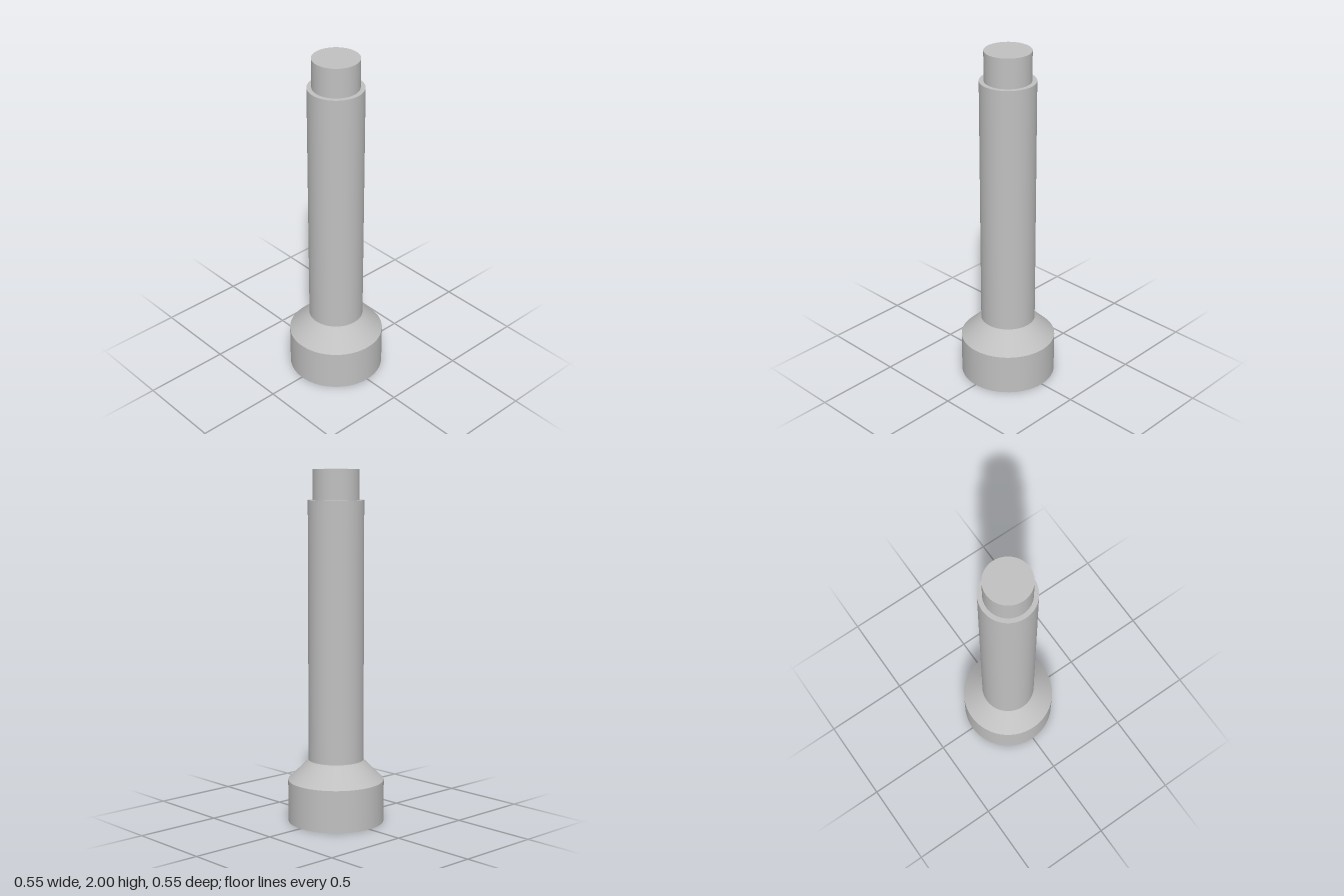
import * as THREE from 'three';

export function createModel() {
  const group = new THREE.Group();
  group.name = 'socketHeadBolt';
  const steel = new THREE.MeshStandardMaterial({ color: 0xc0c0c0 });
  steel.name = 'steel grey';

  const headR = 0.274, shaftR = 0.157, tipR = 0.131;
  const headTop = 0.24, shaftTop = 1.83, top = 2;
  const hexR = 0.085, hexDepth = 0.14;

  const add = (name, geometry) => {
    const mesh = new THREE.Mesh(geometry, steel);
    mesh.name = name;
    group.add(mesh);
  };
  // Surface of revolution; separate calls keep the edges between parts sharp
  const turn = (points, sides = 96) =>
    new THREE.LatheGeometry(points.map(([r, y]) => new THREE.Vector2(r, y)), sides);

  // Head: wall, sloping shoulder
  add('headWall', turn([[headR, 0], [headR, headTop]]));
  add('headShoulder', turn([[headR, headTop], [0.165, 0.347], [shaftR, 0.357]]));

  // Shaft, step and narrower tip
  add('shaft', turn([[shaftR, 0.357], [shaftR, shaftTop]]));
  add('shaftStep', turn([[shaftR, shaftTop], [tipR, shaftTop]]));
  add('tipWall', turn([[tipR, shaftTop], [tipR, top]]));
  add('tipCap', turn([[tipR, top], [0, top]]));

  // Underside of the head with a hexagonal opening
  const face = new THREE.Shape().absarc(0, 0, headR, 0, Math.PI * 2);
  const hexagon = [];
  for (let i = 0; i < 6; i++) {
    const a = (i * Math.PI) / 3;
    hexagon.push(new THREE.Vector2(hexR * Math.sin(a), hexR * Math.cos(a)));
  }
  face.holes.push(new THREE.Path(hexagon));
  add('headFace', new THREE.ShapeGeometry(face, 96).rotateX(Math.PI / 2));

  // Socket: six flat walls facing inwards and a floor
  const socket = turn([[0, hexDepth], [hexR, hexDepth], [hexR, 0]], 6).toNonIndexed();
  socket.computeVertexNormals();
  add('hexSocket', socket);

  return group;
}
